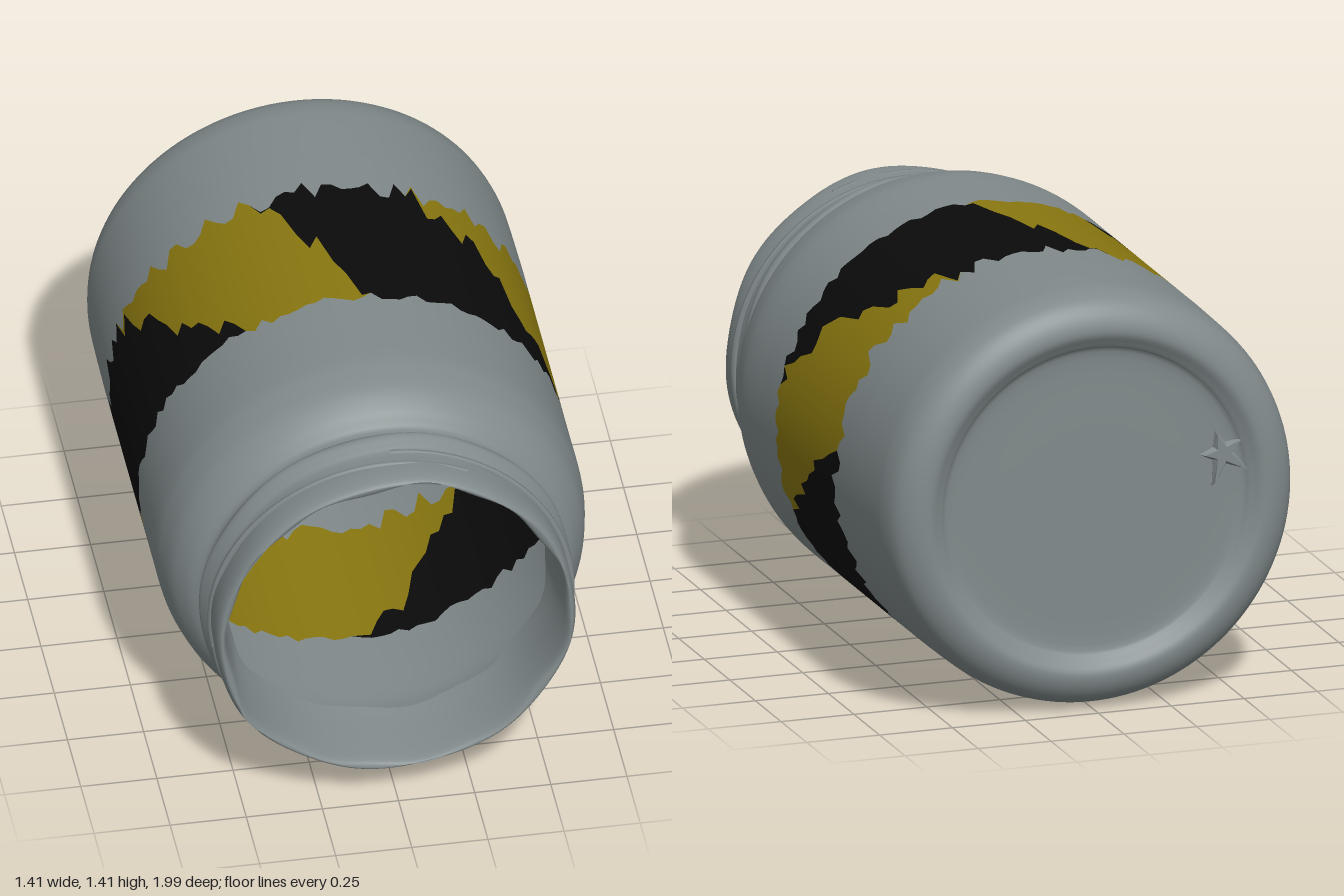
import * as THREE from 'three';

const R = 0.703, SEG = 144, DEG = Math.PI / 180;
const BACK = -0.6, FRONT = 0.3; // ends of the straight wall that carries the stripes

const paint = (color) => new THREE.MeshStandardMaterial({ color, side: THREE.DoubleSide });
const glass = paint(0x818a8b), yellow = paint(0x8a7810), black = paint(0x0c0b0c);

// small repeatable noise in -1..1
const noise = (i, k) => {
  const s = Math.sin((i % SEG) * 12.9898 + k * 78.233) * 43758.5453;
  return (s - Math.floor(s)) * 2 - 1;
};
const clamp = THREE.MathUtils.clamp;

// turned part around the z axis, from [radius, z] points; curved = smoothed profile
function turned(name, points, warp) {
  const curve = new THREE.SplineCurve(points.map(([r, z]) => new THREE.Vector2(r, z)));
  const profile = curve.getPoints(points.length * 4);
  profile.forEach((p) => { p.x = Math.max(0, p.x); });
  const geo = new THREE.LatheGeometry(profile, SEG);
  geo.rotateX(Math.PI / 2);
  if (warp) {
    const pos = geo.attributes.position;
    const v = new THREE.Vector3();
    for (let i = 0; i < pos.count; i++) {
      v.fromBufferAttribute(pos, i);
      warp(v, Math.atan2(v.x, v.y));
      pos.setXYZ(i, v.x, v.y, v.z);
    }
  }
  const mesh = new THREE.Mesh(geo, glass);
  mesh.name = name;
  return mesh;
}

// black stripes: start and end angle at the back edge, then at the front edge of the band
const stripes = [
  [220, 290, 265, 328],
  [82, 140, 113, 175],
  [-17, 26, 5, 74],
  [-140, -70, -95, -32],
];

// z levels along one line of the wall, from back to front
function levels(i) {
  const deg = -140 + (360 * i) / SEG;
  const z0 = -0.44 + 0.05 * noise(i, 1), z1 = 0.14 + 0.025 * noise(i, 2);
  const out = [BACK, z0];
  let last = 0;
  stripes.forEach(([b0, b1, f0, f1], k) => {
    const jag = (n) => 0.1 * noise(i, n);
    const lo = clamp((deg - b1) / (f1 - b1) + jag(3 + k % 3), last, 1);
    const hi = clamp((deg - b0) / (f0 - b0) + jag(7 + k % 3), lo, 1);
    last = hi;
    out.push(z0 + (z1 - z0) * lo, z0 + (z1 - z0) * hi);
  });
  out.push(z1, FRONT);
  return out;
}

// straight wall, split into glass, yellow and black surfaces
function stripedWall() {
  const wall = new THREE.Group();
  wall.name = 'stripedWall';
  const sets = [
    { name: 'plainWall', mat: glass, pos: [], nor: [] },
    { name: 'yellowBand', mat: yellow, pos: [], nor: [] },
    { name: 'blackStripes', mat: black, pos: [], nor: [] },
  ];
  const add = (set, i, z) => {
    const a = (-140 + (360 * i) / SEG) * DEG;
    set.pos.push(R * Math.sin(a), R * Math.cos(a), z);
    set.nor.push(Math.sin(a), Math.cos(a), 0);
  };
  for (let i = 0; i < SEG; i++) {
    const a = levels(i), b = levels(i + 1);
    for (let k = 0; k < a.length - 1; k++) {
      const plain = k === 0 || k === a.length - 2;
      const set = sets[plain ? 0 : k % 2 ? 1 : 2];
      if (a[k + 1] - a[k] > 1e-5) {
        add(set, i, a[k]); add(set, i, a[k + 1]); add(set, i + 1, b[k + 1]);
      }
      if (b[k + 1] - b[k] > 1e-5) {
        add(set, i, a[k]); add(set, i + 1, b[k + 1]); add(set, i + 1, b[k]);
      }
    }
  }
  for (const s of sets) {
    const geo = new THREE.BufferGeometry();
    geo.setAttribute('position', new THREE.Float32BufferAttribute(s.pos, 3));
    geo.setAttribute('normal', new THREE.Float32BufferAttribute(s.nor, 3));
    const mesh = new THREE.Mesh(geo, s.mat);
    mesh.name = s.name;
    wall.add(mesh);
  }
  return wall;
}

export function createModel() {
  const jar = new THREE.Group();
  jar.name = 'jar';

  // recessed floor and rounded heel
  jar.add(turned('base', [
    [0, -0.955], [0.25, -0.955], [0.48, -0.955], [0.53, -0.975], [0.575, -0.998], [0.63, -0.985],
    [0.675, -0.945], [0.695, -0.88], [0.7, -0.8], [R, BACK],
  ]));

  jar.add(stripedWall());

  // shoulder curving in to the neck
  jar.add(turned('shoulder', [
    [R, FRONT], [R, 0.45], [0.695, 0.52], [0.675, 0.6], [0.635, 0.665], [0.595, 0.7], [0.588, 0.725],
  ]));

  // uneven neck with a bead, rolled over into a ragged inner lip
  jar.add(turned('neck', [
    [0.588, 0.725], [0.605, 0.75], [0.612, 0.775], [0.598, 0.81], [0.588, 0.84], [0.592, 0.92],
    [0.588, 0.97], [0.575, 0.993], [0.56, 0.975], [0.55, 0.9], [0.54, 0.8], [0.53, 0.73],
  ], (v, a) => {
    const f = clamp((v.z - 0.725) * 20, 0, 1);
    const r = Math.hypot(v.x, v.y);
    const k = 1 + f * (0.008 * Math.sin(3 * a + 1) + 0.006 * Math.sin(8 * a));
    const inner = r < 0.57 ? 0.012 * Math.sin(11 * a) + 0.01 * Math.sin(5 * a) : 0;
    v.x *= k + inner;
    v.y *= k + inner;
    v.z += f * (0.006 * Math.sin(a * 2) - 0.004);
  }));

  // slanted screw threads on the neck
  for (let n = 0; n < 3; n++) {
    const pts = [];
    for (let i = 0; i <= 24; i++) {
      const a = (n * 120 + i * 6) * DEG;
      pts.push(new THREE.Vector3(0.589 * Math.sin(a), 0.589 * Math.cos(a), 0.83 + 0.003 * i));
    }
    const geo = new THREE.TubeGeometry(new THREE.CatmullRomCurve3(pts), 48, 0.012, 6);
    const thread = new THREE.Mesh(geo, glass);
    thread.name = 'thread' + (n + 1);
    jar.add(thread);
  }

  // small star-shaped dent in the floor
  const star = new THREE.Shape();
  for (let i = 0; i < 10; i++) {
    const a = i * 36 * DEG, r = i % 2 ? 0.025 : 0.09 + 0.03 * noise(i, 5);
    star[i ? 'lineTo' : 'moveTo'](r * Math.cos(a), r * Math.sin(a));
  }
  const dent = new THREE.Mesh(new THREE.ExtrudeGeometry(star, {
    depth: 0.01, bevelThickness: 0.02, bevelSize: 0.01, bevelSegments: 1,
  }), glass);
  dent.name = 'floorDent';
  dent.position.set(-0.44, 0.12, -0.955);
  jar.add(dent);

  jar.position.y = R;
  const model = new THREE.Group();
  model.add(jar);
  return model;
}
